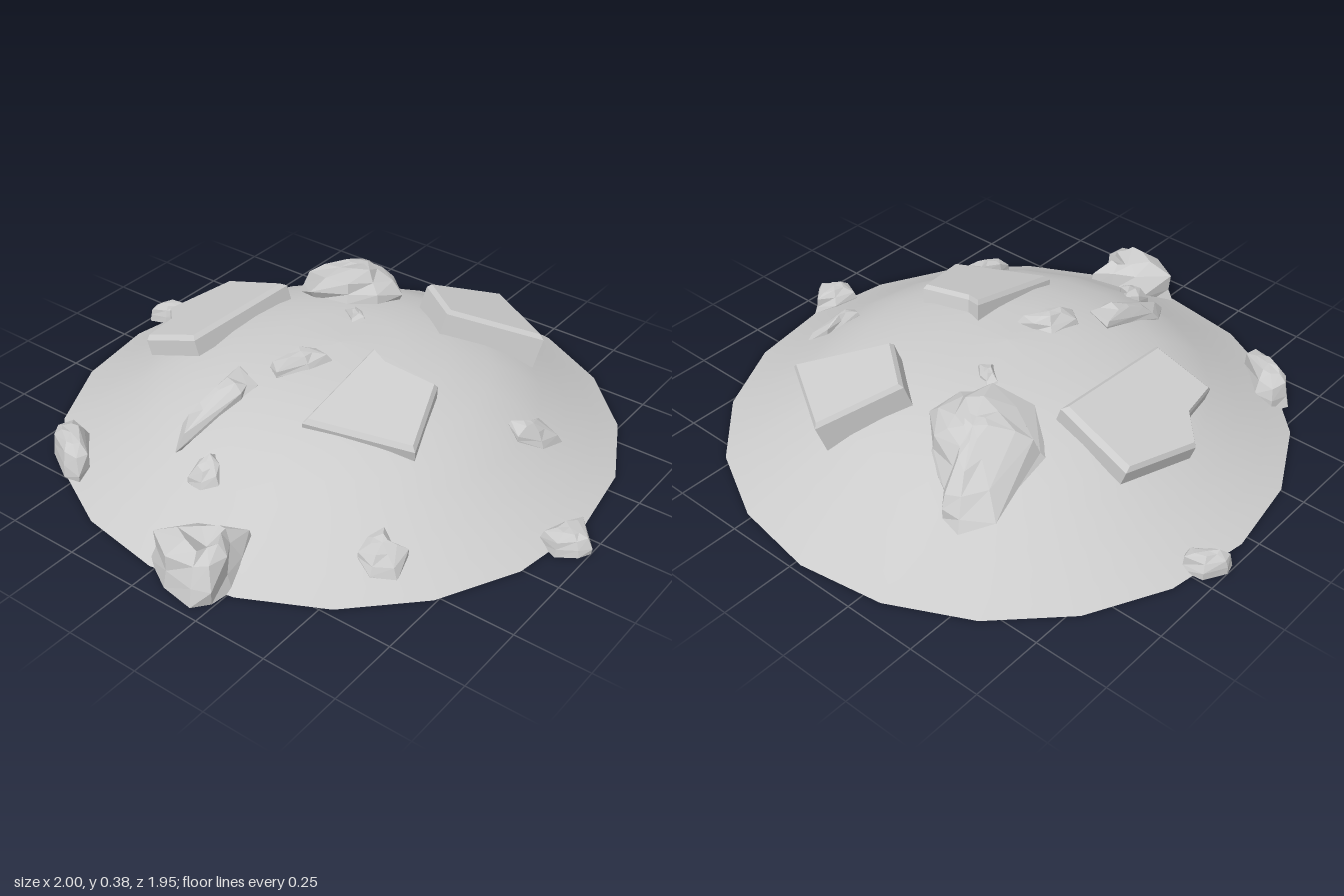
import * as THREE from 'three';

const CX = -0.02, CZ = -0.035;
// mound profile: radius, height
const PROFILE = [[0.94, 0], [0.86, 0.04], [0.76, 0.1], [0.67, 0.155], [0.6, 0.2],
  [0.5, 0.245], [0.36, 0.288], [0.2, 0.312], [0, 0.32]];

function moundHeight(x, z) {
  const r = Math.hypot(x - CX, z - CZ);
  for (let i = 1; i < PROFILE.length; i++) {
    const [r0, y0] = PROFILE[i - 1], [r1, y1] = PROFILE[i];
    if (r >= r1 && r <= r0) return y0 + (y1 - y0) * (r0 - r) / (r0 - r1);
  }
  return 0;
}

// Rock lofted from an outline [x, z]; rings are [scale, depth] from the top down.
// The top is tilted by slope; perpendicular sides follow the tilted normal.
function rock(name, outline, topY, slope, rings, { perpendicular = false, rough = 0, dent = 0 } = {}) {
  const n = outline.length;
  let area = 0;
  outline.forEach(([x, z], i) => {
    const [x2, z2] = outline[(i + 1) % n];
    area += x * z2 - x2 * z;
  });
  const pts = area > 0 ? [...outline].reverse() : outline;
  const cx = pts.reduce((s, p) => s + p[0], 0) / n;
  const cz = pts.reduce((s, p) => s + p[1], 0) / n;
  const normal = new THREE.Vector3(-slope[0], 1, -slope[1]).normalize();
  const down = perpendicular ? normal.negate() : new THREE.Vector3(0, -1, 0);
  const pos = [], index = [];
  const put = (dx, dz, depth) => pos.push(
    cx + dx + down.x * depth,
    Math.max(0, topY + slope[0] * dx + slope[1] * dz + down.y * depth),
    cz + dz + down.z * depth);

  rings.forEach(([s, depth], k) => pts.forEach(([x, z], i) => {
    const last = k === rings.length - 1;
    const wobble = last ? 0 : rough * Math.sin(i * 2.4 + k * 1.7);
    put((x - cx) * s * (1 + wobble), (z - cz) * s * (1 + wobble), depth + Math.abs(wobble) * 0.08);
  }));
  const top = rings.length * n, bottom = top + 1, last = (rings.length - 1) * n;
  put(0, 0, rings[0][1] + dent);
  put(0, 0, rings[rings.length - 1][1]);
  for (let i = 0; i < n; i++) {
    const j = (i + 1) % n;
    index.push(i, j, top, last + j, last + i, bottom);
    for (let k = 0; k < last; k += n) {
      index.push(k + n + i, k + n + j, k + j, k + n + i, k + j, k + i);
    }
  }
  const indexed = new THREE.BufferGeometry();
  indexed.setAttribute('position', new THREE.Float32BufferAttribute(pos, 3));
  indexed.setIndex(index);
  const geometry = indexed.toNonIndexed();
  geometry.computeVertexNormals();
  const mesh = new THREE.Mesh(geometry, new THREE.MeshStandardMaterial({ color: 0xcccccc, flatShading: true }));
  mesh.name = name;
  return mesh;
}

// Flat slab with a narrow bevel
const slab = (name, outline, topY, slope, thick) => rock(name, outline, topY, slope,
  [[0.93, 0], [1, 0.015], [1, thick]], { perpendicular: true });

// Stone half sunk in the mound, tilted with its surface
function pebble(name, outline, h, rings) {
  const x = outline.reduce((s, p) => s + p[0], 0) / outline.length;
  const z = outline.reduce((s, p) => s + p[1], 0) / outline.length;
  const e = 0.08;
  const slope = [(moundHeight(x + e, z) - moundHeight(x - e, z)) / (2 * e),
    (moundHeight(x, z + e) - moundHeight(x, z - e)) / (2 * e)];
  return rock(name, outline, moundHeight(x, z) + h, slope,
    rings ?? [[0.45, 0], [0.85, h * 0.45], [1, h], [0.95, h + 0.025]], { rough: 0.12 });
}

// Stone resting on the ground at the rim
const rimStone = (name, outline, h, options) => rock(name, outline, h, [0, 0],
  [[0.45, 0], [0.8, h * 0.2], [0.96, h * 0.6], [1, h]], { rough: 0.1, ...options });

export function createModel() {
  const group = new THREE.Group();

  // Smooth open mound
  const mound = new THREE.Mesh(
    new THREE.LatheGeometry(PROFILE.map(([r, y]) => new THREE.Vector2(r, y)), 20),
    new THREE.MeshStandardMaterial({ color: 0xcccccc, side: THREE.DoubleSide }));
  mound.name = 'mound';
  mound.position.set(CX, 0, CZ);
  group.add(mound);

  // Large slabs
  group.add(
    slab('rightSlab', [[-0.66, -0.23], [-0.39, -0.21], [-0.41, 0.25], [-0.62, 0.26], [-0.64, 0.12], [-0.73, 0.03]],
      0.277, [0.34, 0], 0.07),
    slab('frontSlab', [[0.14, 0.0], [0.2, 0.02], [0.39, 0.0], [0.48, 0.25], [0.14, 0.37]],
      0.33, [-0.17, -0.22], 0.085),
    slab('backSlab', [[0.18, -0.71], [0.46, -0.54], [0.2, -0.34], [0.03, -0.47]],
      0.318, [-0.16, 0.31], 0.15));

  // Rounded boulder at the back
  group.add(pebble('backBoulder', [[-0.44, -0.58], [-0.38, -0.67], [-0.31, -0.66], [-0.27, -0.6], [-0.14, -0.54],
    [-0.08, -0.45], [-0.09, -0.34], [-0.17, -0.27], [-0.3, -0.26], [-0.44, -0.33]],
    0.11, [[0.2, 0], [0.5, 0.015], [0.82, 0.055], [1, 0.1], [1, 0.14]]));

  // Small stones on the slope
  group.add(
    pebble('crestStone', [[-0.12, 0.2], [-0.1, 0.09], [-0.04, 0.06], [0.02, 0.07], [0, 0.15], [-0.07, 0.24]], 0.045),
    pebble('longStone', [[-0.2, 0.26], [-0.1, 0.3], [-0.1, 0.36], [-0.17, 0.59], [-0.23, 0.52], [-0.21, 0.38]], 0.045),
    pebble('lowerStone', [[-0.08, 0.6], [-0.05, 0.56], [0, 0.59], [0.02, 0.63], [-0.02, 0.67], [-0.08, 0.66]], 0.045),
    pebble('frontLeftStone', [[0.49, 0.52], [0.52, 0.46], [0.57, 0.48], [0.62, 0.46], [0.62, 0.54], [0.56, 0.59],
      [0.5, 0.57]], 0.045),
    pebble('leftStone', [[0.58, -0.13], [0.61, -0.18], [0.62, -0.25], [0.7, -0.26], [0.69, -0.17], [0.63, -0.1]], 0.04),
    pebble('topStone', [[-0.14, -0.22], [-0.12, -0.25], [-0.08, -0.24], [-0.04, -0.2], [-0.07, -0.16], [-0.1, -0.19]],
      0.025));

  // Stones around the rim
  group.add(
    rimStone('frontBoulder', [[-0.04, 0.88], [0.04, 0.76], [0.14, 0.71], [0.21, 0.69], [0.22, 0.76], [0.25, 0.84],
      [0.24, 0.92], [0.2, 0.97], [0.08, 0.95]], 0.16, { rough: 0.15, dent: 0.05 }),
    rimStone('frontRightStone', [[-0.7, 0.63], [-0.67, 0.57], [-0.6, 0.57], [-0.46, 0.7], [-0.47, 0.75],
      [-0.54, 0.75], [-0.66, 0.68]], 0.11),
    rimStone('leftRimStone', [[0.85, 0.11], [0.87, 0.02], [0.92, -0.04], [1, 0.06], [0.98, 0.1], [0.92, 0.14]], 0.07),
    rimStone('rightRimStone', [[-1, -0.17], [-0.96, -0.24], [-0.88, -0.25], [-0.87, -0.2], [-0.93, -0.15],
      [-0.99, -0.13]], 0.07));
  return group;
}
